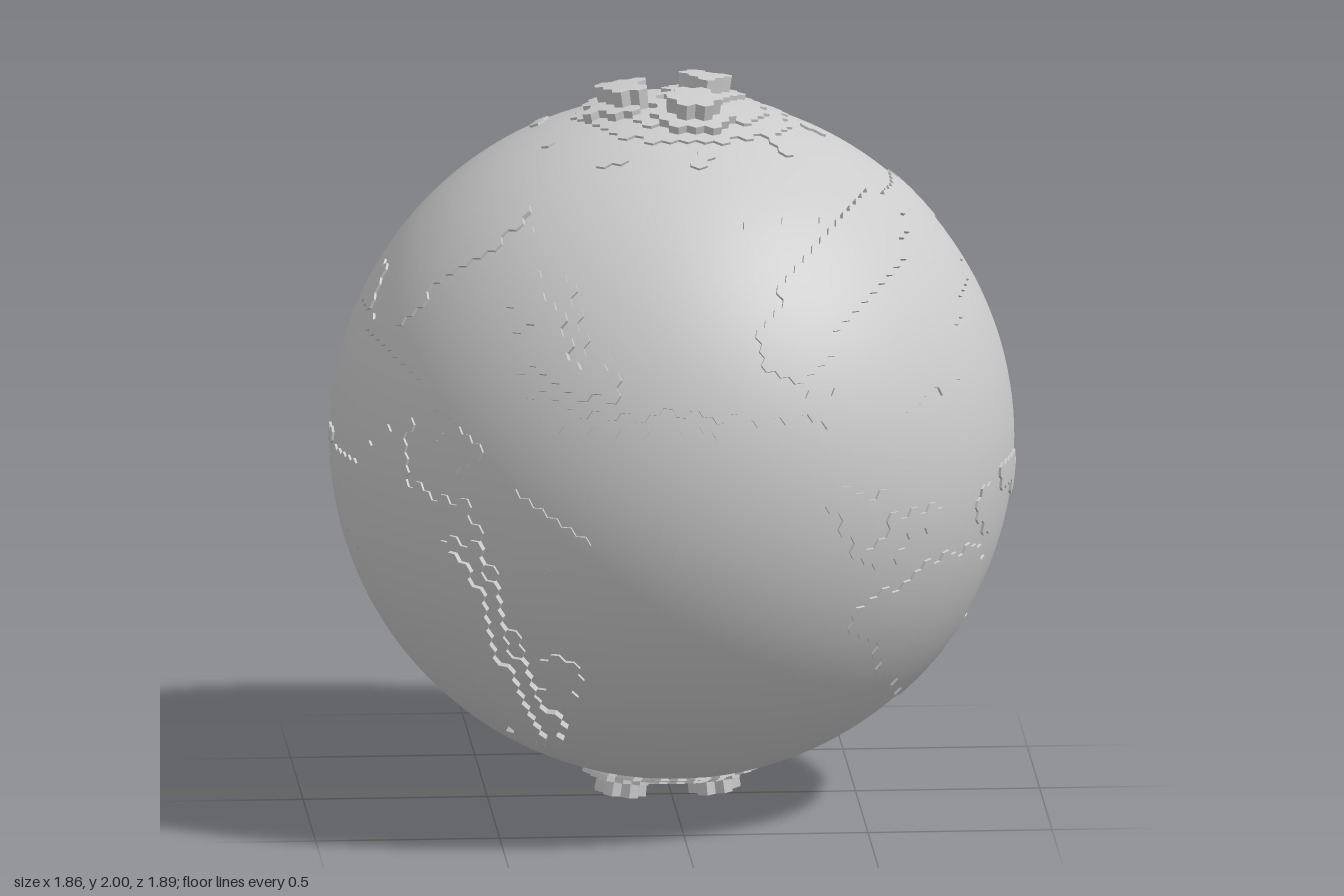
import * as THREE from 'three';
import { mergeVertices } from 'three/addons/utils/BufferGeometryUtils.js';

const R = 0.928;                                                        // sea level
const height = (level) => (level ? R + 0.004 + 0.0027 * level * level : R - 0.004);

// A drawing direction on the ball, from azimuth and elevation in degrees
function facing(azimuth, elevation) {
  const turn = new THREE.Euler(-THREE.MathUtils.degToRad(elevation), THREE.MathUtils.degToRad(azimuth), 0, 'YXZ');
  return [[1, 0, 0], [0, 1, 0], [0, 0, 1]].map((v) => new THREE.Vector3(...v).applyEuler(turn));
}
const FRONT = facing(0, 0), LEFT = facing(90, 0), TOP = facing(0, 90), BOTTOM = facing(0, -90);
const FRONT_LEFT = facing(45, 25), BACK_RIGHT = facing(225, 25), BACK_LEFT = facing(135, -30);

// Rules giving a terrace level at u,v (hundredths of the radius)
const pairs = (list) => list.flatMap((u, i) => (i % 2 ? [] : [new THREE.Vector2(u, list[i + 1])]));

function area(view, outline) {
  const p = pairs(outline);
  const rule = (q) => p.reduce((hit, a, i) => {
    const b = p[(i + 1) % p.length];
    const crosses = (a.y > q.y) !== (b.y > q.y) && q.x < a.x + (b.x - a.x) * (q.y - a.y) / (b.y - a.y);
    return crosses ? 1 - hit : hit;
  }, 0);
  return { view, rule };
}

// Line of hills: highest along the path, one terrace lower per width, down to "base"
function ridge(view, path, width, level = 1, base = level) {
  const p = pairs(path);
  const rule = (q) => {
    let distance = Infinity;
    p.forEach((a, i) => {
      const along = (p[i + 1] ?? a).clone().sub(a);
      const t = THREE.MathUtils.clamp(q.clone().sub(a).dot(along) / (along.lengthSq() || 1), 0, 1);
      distance = Math.min(distance, q.distanceTo(along.multiplyScalar(t).add(a)));
    });
    const here = level - Math.floor(distance / width);
    return here >= base ? here : 0;
  };
  return { view, rule };
}

// Polar cap: two round terraces with steep hexagonal peaks
const cap = (view, x, y, radius, peaks) => [
  ridge(view, [x, y], radius, 1),
  ridge(view, [x, y], radius * 0.75, 2),
  ...peaks.flatMap((p) => [ridge(view, p, 11, 3), ridge(view, p, 6.5, 5)]),
];

// Ring of islets around the north pole
const islets = Array.from({ length: 9 }, (_, i) =>
  ridge(TOP, [40 * Math.cos(i * 0.7), 40 * Math.sin(i * 0.7)], 3));

const LANDS = {
  northPolarCap: cap(TOP, 3, 0, 31, [[9, 6], [-14, -3], [4, -17]]),
  southPolarCap: cap(BOTTOM, 0, -3, 28, [[-14, 0], [12, -3]]),
  easternContinent: [
    area(FRONT_LEFT, [-49, 50, 0, 40, 60, 53, 50, 15, 37, 10, 9, -15, -28, -30, -58, -49, -92, -11, -83, 53]),
    area(FRONT, [-43, 75, -67, 67, -90, 40, -70, 23, -62, 6, -43, -21, -31, -11, -53, 8, -13, 2, -3, -14, 30, 9, 30, 77]),
    area(TOP, [-86, -28, -45, -44, -55, -70, -80, -48]),
    ridge(TOP, [-78, -36, -50, -44], 5, 2),                     // northern hills
    ridge(FRONT, [30, 46, 38, 58, 55, 68], 10, 2),              // eastern plateau
    ridge(FRONT, [-41, 54, -38, 34, 10, 33], 5, 3, 2),          // central range
    ridge(FRONT, [10, 31, 42, 28], 4, 2),
    ridge(FRONT, [-40, 39, -25, 36], 4, 4),
    ridge(FRONT, [-68, 14], 6, 2),
  ],
  southernContinent: [
    area(FRONT, [-100, 4, -64, -2, -58, -20, -50, -45, -37, -80, -55, -72, -80, -46, -97, -20]),
    area(BACK_RIGHT, [97, 12, 89, -29, 82, -58, 100, -20]),
    ridge(FRONT, [-66, -20, -57, -50, -43, -74], 3.5, 3, 2),    // coastal range
  ],
  northwestContinent: [
    area(TOP, [-8, 73, 17, 65, 68, 27, 70, 36, 55, 62, 42, 82, 10, 95, -3, 84]),
    area(BACK_RIGHT, [-75, 59, -36, 55, -36, 38, -57, 16, -69, 0, -87, -8, -85, 19]),
    ridge(BACK_LEFT, [10, 92, 26, 70], 5),                      // land bridge
    ridge(TOP, [36, 84, 45, 70, 44, 50], 4, 3, 2),              // western range
  ],
  southwestContinent: [
    area(BACK_LEFT, [46, -49, 49, 13, 30, 47, 29, 75, 63, 74, 89, 32, 83, 4]),
    ridge(BACK_LEFT, [36, 54, 52, 38, 54, 5, 49, -28], 4, 3, 2), // long western range
    ridge(BACK_LEFT, [43, 49, 50, 37], 3.5, 4),
    ridge(BACK_LEFT, [42, 49], 3, 5),
  ],
  southeastContinent: [area(LEFT, [-82, -36, -70, -23, -44, -22, -21, -52, -26, -72, -58, -59])],
  arcticIsland: [
    area(TOP, [-49, 36, -33, 75, -13, 58, -44, 36]),
    ridge(TOP, [-25, 57], 4, 2),
    ridge(TOP, [-36, 62], 4, 2),
  ],
  smallIslands: [
    ...islets,
    ridge(LEFT, [-32, -5, -20, -6, -8, -12], 4),
    ridge(LEFT, [-57, 30, -49, 42], 4),
    ridge(LEFT, [-78, -9, -70, -9], 4),
    ridge(LEFT, [-47, -9, -41, -18], 4),
    ridge(LEFT, [2, -48, 2, -54], 5),
    ridge(LEFT, [2, -61, 0, -68], 5),
    ridge(FRONT, [40, 8, 44, 0, 53, -2], 4),
    ridge(FRONT, [46, -8, 50, -16, 62, -19], 3),
    ridge(FRONT, [-37, -51, -37, -60], 5),
    ridge(BACK_RIGHT, [66, 19], 6),
    ridge(BACK_RIGHT, [-47, -8], 4),
    ridge(BACK_RIGHT, [-26, -21], 4),
  ],
};

// Highest terrace at a point of the unit sphere and the land it belongs to
function terrain(point) {
  const best = { level: 0, land: '' };
  for (const [land, parts] of Object.entries(LANDS)) {
    for (const { view: [right, up, out], rule } of parts) {
      if (point.dot(out) < 0.02) continue;
      const level = rule(new THREE.Vector2(point.dot(right), point.dot(up)).multiplyScalar(100));
      if (level > best.level) Object.assign(best, { level, land });
    }
  }
  return best;
}

// Hexagon cells around the vertices of a geodesic sphere, raised to their terraces
function landGeometries() {
  let ball = new THREE.IcosahedronGeometry(1, 25);
  ball.deleteAttribute('uv');
  ball.deleteAttribute('normal');
  ball = mergeVertices(ball, 1e-4);
  const pos = ball.attributes.position, index = ball.index.array;
  const verts = Array.from({ length: pos.count }, (_, i) => new THREE.Vector3().fromBufferAttribute(pos, i).normalize());
  const cells = verts.map(terrain), corners = new Map(), out = {};
  const key = (a, b) => a * pos.count + b;
  for (let f = 0; f < index.length; f += 3) {
    const t = [index[f], index[f + 1], index[f + 2]];
    const centre = new THREE.Vector3();
    t.forEach((i) => centre.add(verts[i]));
    centre.normalize();
    t.forEach((a, k) => corners.set(key(a, t[(k + 1) % 3]), centre));
  }
  const at = (dir, r) => dir.clone().multiplyScalar(r);
  for (const [k, left] of corners) {
    const a = Math.floor(k / pos.count), b = k % pos.count;
    const cell = cells[a], next = cells[b];
    if (!cell.level) continue;
    const right = corners.get(key(b, a));
    const g = (out[cell.land] ??= { position: [], normal: [] });
    const add = (p, n) => { g.position.push(...p); g.normal.push(...n); };
    const top = height(cell.level);
    // terrace top, smooth like the ball
    for (const d of [verts[a], right, left]) add(at(d, top), d);
    // step down to a lower neighbour
    if (next.level < cell.level) {
      const low = height(next.level);
      const face = verts[b].clone().sub(verts[a]).normalize();
      const [p, q, r, s] = [at(right, low), at(left, low), at(left, top), at(right, top)];
      for (const c of [p, q, r, p, r, s]) add(c, face);
    }
  }
  return out;
}

export function createModel() {
  const group = new THREE.Group();
  group.name = 'globe';
  const material = new THREE.MeshStandardMaterial({ color: 0xcccccc });
  const add = (name, geometry) => {
    const mesh = new THREE.Mesh(geometry, material);
    mesh.name = name;
    mesh.position.set(0, 1, 0.02);
    group.add(mesh);
  };
  add('ocean', new THREE.SphereGeometry(R, 128, 80));
  for (const [name, g] of Object.entries(landGeometries())) {
    const geometry = new THREE.BufferGeometry();
    geometry.setAttribute('position', new THREE.Float32BufferAttribute(g.position, 3));
    geometry.setAttribute('normal', new THREE.Float32BufferAttribute(g.normal, 3));
    add(name, geometry);
  }
  return group;
}
